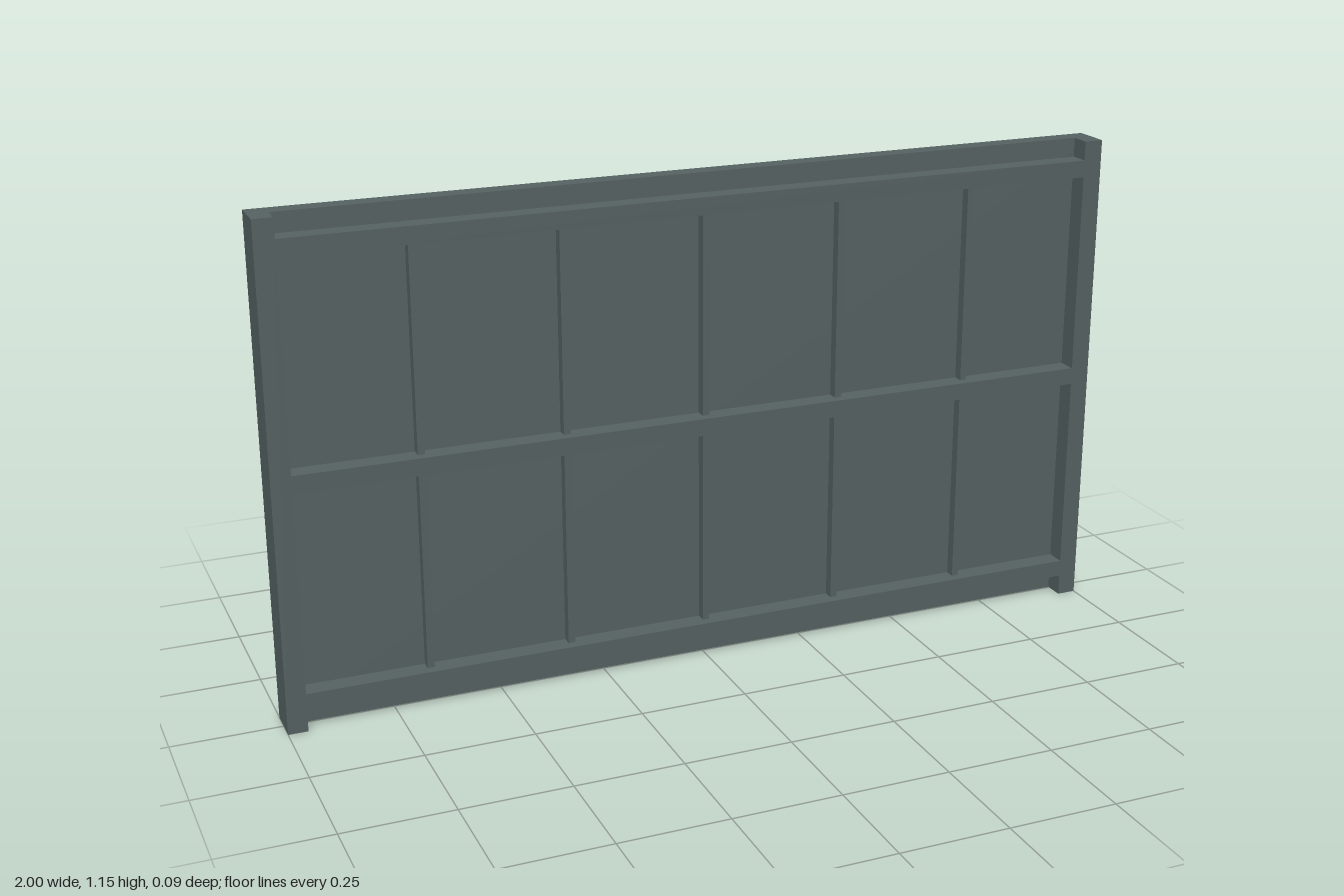
import * as THREE from 'three';

export function createModel() {
  const group = new THREE.Group();
  const slate = new THREE.MeshStandardMaterial({ color: 0x566262 });
  slate.name = 'slate grey';

  const H = 1.155, FRONT = 0.045, FACE = -0.002; // height, frame front, panel face
  const STILE = 0.045, RAIL = 0.04, BAR = 0.016;
  const innerX = 1 - STILE;

  // Box given by its minimum and maximum corners
  function box(name, x0, x1, y0, y1, z0, z1) {
    const mesh = new THREE.Mesh(new THREE.BoxGeometry(x1 - x0, y1 - y0, z1 - z0), slate);
    mesh.position.set((x0 + x1) / 2, (y0 + y1) / 2, (z0 + z1) / 2);
    mesh.name = name;
    group.add(mesh);
  }

  // Solid backing panel
  box('backPanel', -1, 1, 0, H, -FRONT, FACE);

  // Full-height side stiles
  box('rightStile', -1, -innerX, 0, H, FACE, FRONT);
  box('leftStile', innerX, 1, 0, H, FACE, FRONT);

  // Horizontal rails, flush with the stiles
  const rails = [0.07, H / 2, H - 0.065];
  ['bottomRail', 'middleRail', 'topRail'].forEach((name, i) =>
    box(name, -innerX, innerX, rails[i] - RAIL / 2, rails[i] + RAIL / 2, FACE, FRONT));

  // Slim, shallower vertical bars dividing each row into six
  for (let row = 0; row < 2; row++) {
    for (let i = -2; i <= 2; i++) {
      const x = i / 3;
      box('verticalBar', x - BAR / 2, x + BAR / 2,
        rails[row] + RAIL / 2, rails[row + 1] - RAIL / 2, FACE, 0.022);
    }
  }
  return group;
}
